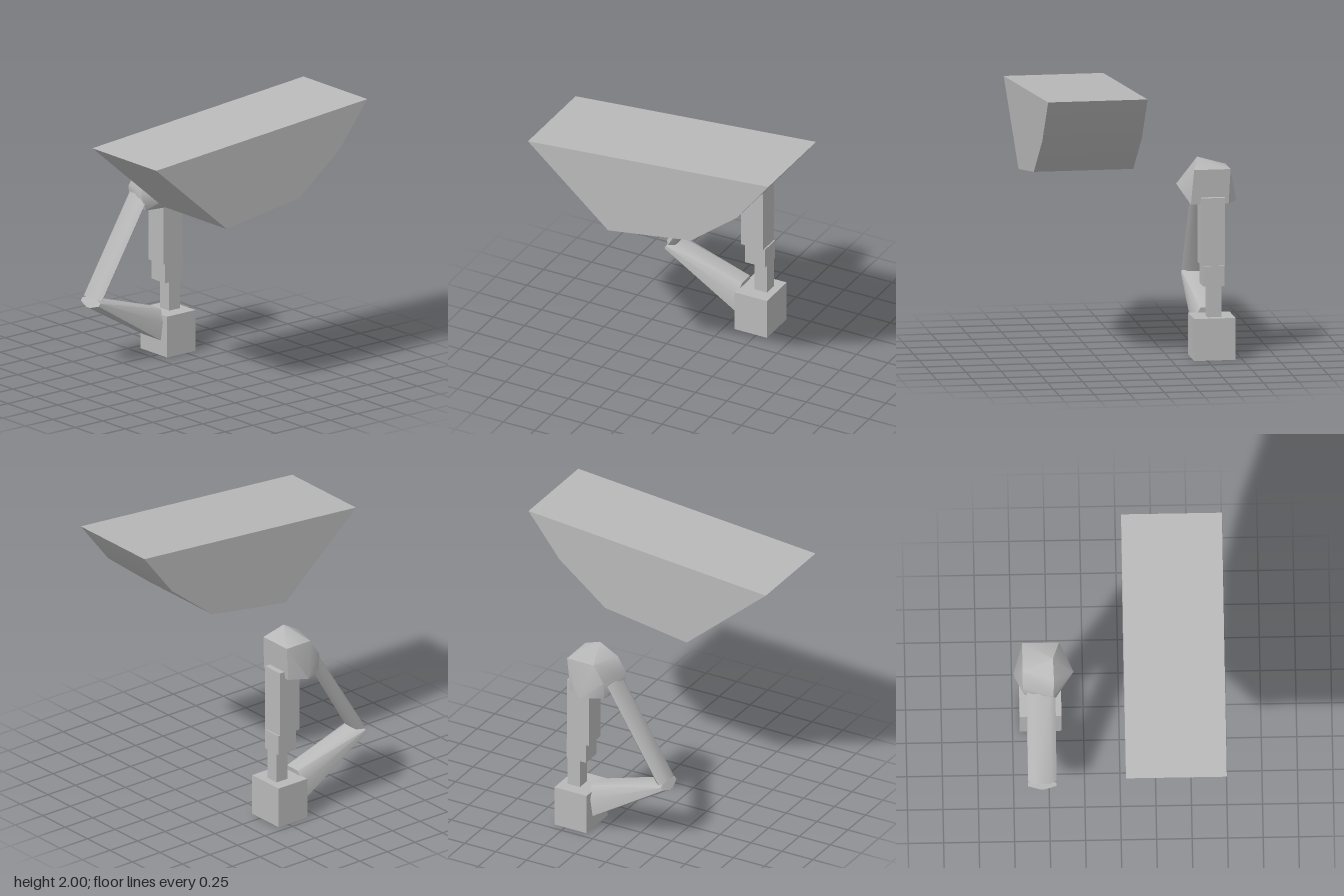
import * as THREE from 'three';
import { ConvexGeometry } from 'three/addons/geometries/ConvexGeometry.js';
import { toCreasedNormals } from 'three/addons/utils/BufferGeometryUtils.js';

const ARM_X = -0.55;

export function createModel() {
  const group = new THREE.Group();
  const grey = new THREE.MeshStandardMaterial({ color: 0xb8b8b8 });
  grey.name = 'plain grey';

  const add = (name, geometry) => {
    const mesh = new THREE.Mesh(geometry, grey);
    mesh.name = name;
    group.add(mesh);
    return mesh;
  };

  // Axis-aligned block given by its ranges
  const block = (name, [x0, x1], [y0, y1], [z0, z1]) =>
    add(name, new THREE.BoxGeometry(x1 - x0, y1 - y0, z1 - z0))
      .position.set((x0 + x1) / 2, (y0 + y1) / 2, (z0 + z1) / 2);

  // Convex solid with edges softened below the crease angle
  const hull = (name, points, crease) => add(name, toCreasedNormals(
    new ConvexGeometry(points.map((p) => new THREE.Vector3(...p))), crease));

  // Limb: the ends are lists of [half width, y, z], mirrored about the arm
  const limb = (name, section) => hull(name,
    section.flatMap(([w, y, z]) => [[ARM_X - w, y, z], [ARM_X + w, y, z]]), 0.9);

  // Wedge-shaped hopper, its side profile swept across x
  const profile = [[0.96, 1.84], [0.32, 1.29], [-0.34, 1.39], [-0.71, 1.68], [-0.96, 2]];
  hull('hopper', profile.flatMap(([z, y]) => [[0.03, y, z], [0.74, y, z]]), 0.4);

  // Base and telescoping column
  block('base', [-0.7, -0.405], [0, 0.3], [-0.335, -0.075]);
  block('columnPost', [-0.61, -0.51], [0.28, 0.6], [-0.28, -0.18]);
  block('columnSleeve', [-0.63, -0.48], [0.52, 0.665], [-0.28, -0.12]);
  block('columnTop', [-0.635, -0.47], [0.665, 1.15], [-0.27, -0.095]);

  // Lower limb, tapering forward from the base to the elbow
  limb('lowerLimb', [
    [0.02, 0.45, 0.525], [0.1, 0.475, 0.51], [0.1, 0.495, 0.495], [0.05, 0.515, 0.49],
    [0.1, 0.12, -0.055], [0.1, 0.25, -0.075], [0.06, 0.335, -0.09],
  ]);

  // Upper limb, a broad slat from the elbow to the head
  limb('upperLimb', [
    [0.06, 0.52, 0.51], [0.1, 0.51, 0.48], [0.06, 0.5, 0.44],
    [0.06, 1.2, 0.085], [0.1, 1.19, 0.065], [0.06, 1.17, 0.04],
  ]);

  // Faceted head
  hull('head', [
    [-0.745, 1.1, -0.1], [-0.67, 1.1, -0.225], [-0.4, 1.1, -0.225],
    [-0.45, 1.1, 0.08], [-0.67, 1.1, 0.05],
    [-0.32, 1.225, -0.07], [-0.465, 1.225, 0.115], [-0.68, 1.225, 0.05],
    [-0.68, 1.35, -0.245], [-0.42, 1.35, -0.245], [-0.68, 1.35, -0.03],
    [-0.465, 1.42, -0.1], [-0.46, 1.34, 0.04],
  ], 0.9);

  return group;
}
